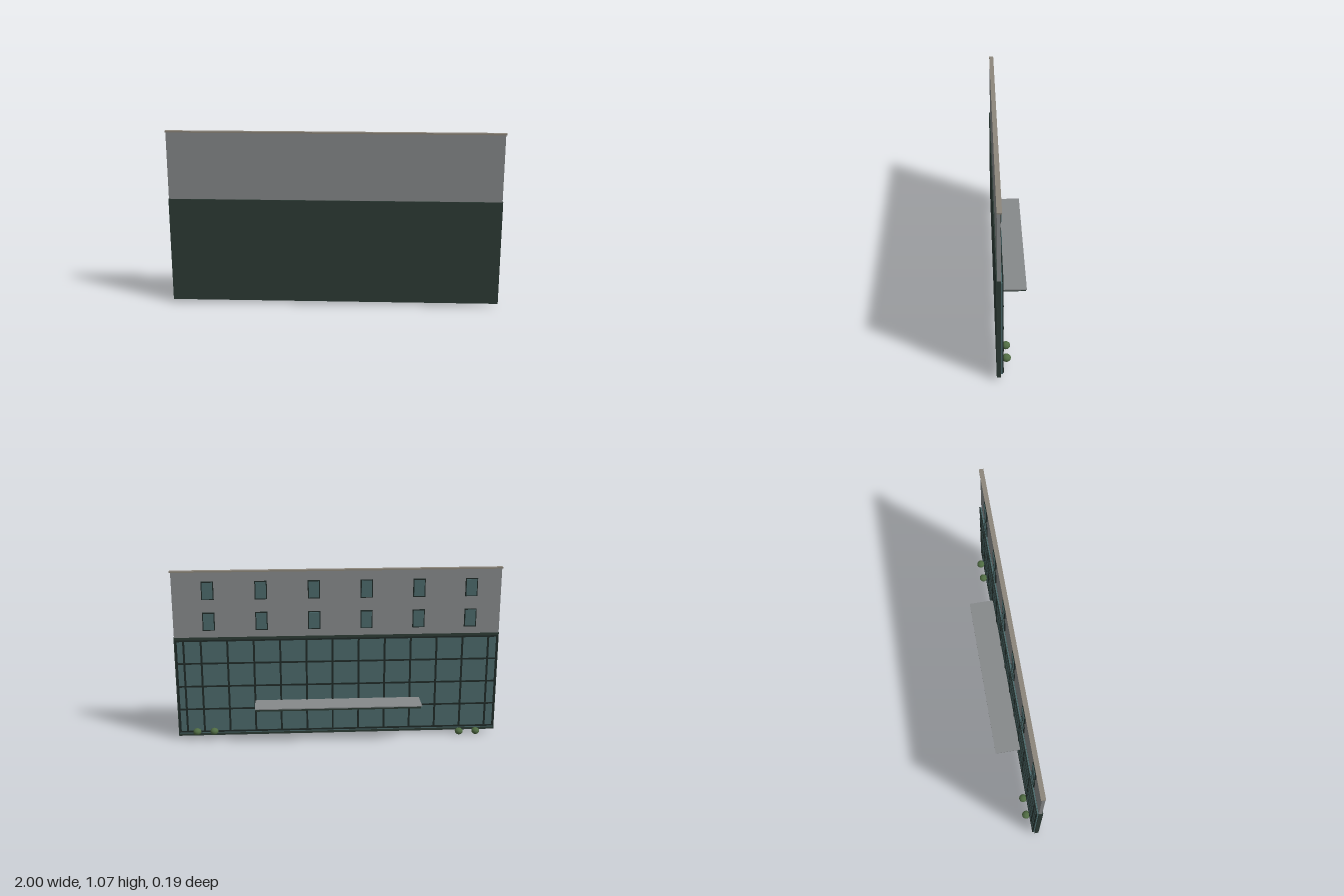
import * as THREE from 'three';

const mat = (name, color) => {
  const m = new THREE.MeshStandardMaterial({ color });
  m.name = name;
  return m;
};

export function createModel() {
  const model = new THREE.Group();
  model.name = 'buildingFacade';

  const grey = mat('greyRender', 0x86898a);
  const darkGreen = mat('darkGreenPanel', 0x2d3b35);
  const glass = mat('tealGlass', 0x4b696b);
  const frame = mat('darkFrame', 0x1f2a27);
  const stone = mat('warmStone', 0x8c867b);
  const leaf = mat('leafGreen', 0x506c43);

  // Box given by its lower and upper limits on each axis
  const box = (name, material, [x0, x1], [y0, y1], [z0, z1], parent = model) => {
    const mesh = new THREE.Mesh(new THREE.BoxGeometry(x1 - x0, y1 - y0, z1 - z0), material);
    mesh.position.set((x0 + x1) / 2, (y0 + y1) / 2, (z0 + z1) / 2);
    mesh.name = name;
    parent.add(mesh);
    return mesh;
  };
  const group = (name) => {
    const g = new THREE.Group();
    g.name = name;
    model.add(g);
    return g;
  };

  // Main wall slabs and the cornice along the roof edge
  box('lowerWall', darkGreen, [-0.997, 0.993], [0.018, 0.66], [0.071, 0.095]);
  box('upperWall', grey, [-0.995, 0.99], [0.66, 1.065], [0.07, 0.089]);
  box('cornice', stone, [-1, 0.997], [1.063, 1.072], [0.063, 0.09]);

  // Glazed curtain wall with its grid of rails and mullions
  const curtain = group('curtainWall');
  box('curtainGlass', glass, [-0.99, 0.985], [0.037, 0.643], [0.061, 0.071], curtain);
  for (const y of [0.05, 0.2, 0.349, 0.497, 0.642]) {
    box('rail', frame, [-0.99, 0.985], [y - 0.005, y + 0.005], [0.056, 0.063], curtain);
  }
  const mullions = [-0.985, 0.98, 0.935];
  for (let i = 0; i < 12; i++) mullions.push(0.83 - i * 0.16);
  for (const x of mullions) {
    box('mullion', frame, [x - 0.006, x + 0.006], [0.045, 0.642], [0.058, 0.063], curtain);
  }

  // Two rows of six windows on the upper wall
  const windows = group('upperWindows');
  for (const y of [0.76, 0.951]) {
    for (let i = 0; i < 6; i++) {
      const x = 0.777 - i * 0.318;
      box('windowFrame', frame, [x - 0.037, x + 0.037], [y - 0.056, y + 0.056], [0.063, 0.071], windows);
      box('windowPane', glass, [x - 0.031, x + 0.031], [y - 0.05, y + 0.05], [0.06, 0.064], windows);
    }
  }

  // Entrance canopy: dark soffit with a lighter top sheet
  const canopy = group('canopy');
  box('canopySoffit', darkGreen, [-0.503, 0.503], [0.232, 0.244], [-0.088, 0.061], canopy);
  box('canopyTop', grey, [-0.51, 0.51], [0.244, 0.25], [-0.092, 0.061], canopy);

  // Round shrubs at both ends, on slightly different ground levels
  const shrubs = group('shrubs');
  const ball = new THREE.SphereGeometry(0.025, 20, 14);
  for (const [x, y] of [[-0.874, 0.0215], [-0.768, 0.0215], [0.77, 0.057], [0.876, 0.057]]) {
    const shrub = new THREE.Mesh(ball, leaf);
    shrub.scale.y = 0.86;
    shrub.position.set(x, y, 0.039);
    shrub.name = 'shrub';
    shrubs.add(shrub);
  }

  return model;
}
